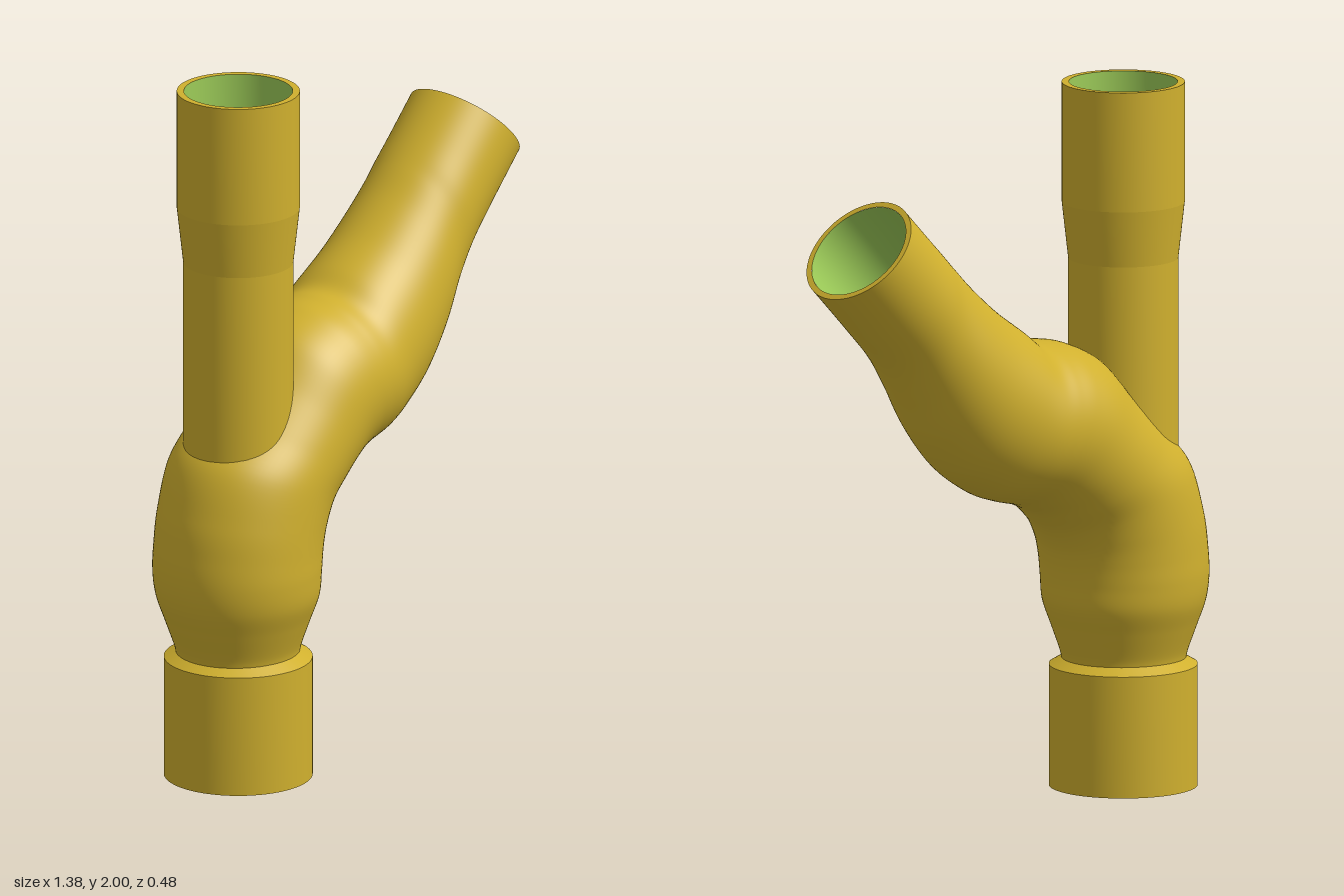
import * as THREE from 'three';
import { toCreasedNormals } from 'three/addons/utils/BufferGeometryUtils.js';

const AXIS = -0.45;   // x of the vertical pipe axis
const WALL = 0.017;
const CUT = 0.144;    // radius of the opening where the riser joins the branch

// Branch sections: upper x, upper y, lower x, lower y, half width in z
const SECTIONS = [
  [-0.627, 0.36, -0.277, 0.36, 0.172],
  [-0.635, 0.39, -0.270, 0.39, 0.179],
  [-0.660, 0.46, -0.246, 0.46, 0.204],
  [-0.683, 0.53, -0.223, 0.53, 0.229],
  [-0.692, 0.60, -0.218, 0.60, 0.237],
  [-0.688, 0.68, -0.210, 0.66, 0.237],
  [-0.670, 0.79, -0.195, 0.71, 0.237],
  [-0.615, 0.94, -0.165, 0.76, 0.237],
  [-0.500, 1.045, -0.125, 0.80, 0.237],
  [-0.400, 1.14, -0.095, 0.823, 0.237],
  [-0.300, 1.245, -0.060, 0.840, 0.237],
  [-0.200, 1.295, -0.030, 0.852, 0.237],
  [-0.120, 1.312, 0.000, 0.860, 0.236],
  [-0.060, 1.325, 0.050, 0.873, 0.232],
  [0.000, 1.37, 0.120, 0.900, 0.222],
  [0.100, 1.44, 0.220, 0.967, 0.209],
  [0.200, 1.525, 0.310, 1.070, 0.194],
  [0.270, 1.595, 0.385, 1.190, 0.178],
  [0.310, 1.635, 0.460, 1.300, 0.174],
  [0.360, 1.685, 0.560, 1.405, 0.171],
  [0.450, 1.775, 0.690, 1.535, 0.170],
];

// Loft of ellipses through the sections, opened where the riser passes
function branchSurface(inset, inward) {
  const rows = 160, sides = 96;
  const curve = (f) => new THREE.CatmullRomCurve3(SECTIONS.map(f), false, 'catmullrom', 0.5);
  const upper = curve((s) => new THREE.Vector3(s[0], s[1], 0));
  const lower = curve((s) => new THREE.Vector3(s[2], s[3], 0));
  const width = curve((s) => new THREE.Vector3(s[4], 0, 0));
  const pos = [], index = [];
  for (let i = 0; i <= rows; i++) {
    const t = i / rows;
    const u = upper.getPoint(t), l = lower.getPoint(t);
    const c = u.clone().add(l).multiplyScalar(0.5);
    const arm = u.sub(c);
    arm.setLength(arm.length() - inset);
    const w = width.getPoint(t).x - inset;
    for (let j = 0; j < sides; j++) {
      const a = (j / sides) * Math.PI * 2;
      pos.push(c.x + arm.x * Math.cos(a), c.y + arm.y * Math.cos(a), w * Math.sin(a));
    }
  }
  for (let i = 0; i < rows; i++) {
    for (let j = 0; j < sides; j++) {
      const k = (j + 1) % sides;
      const a = i * sides + j, b = i * sides + k, c = a + sides, d = b + sides;
      for (const [p, q, r] of [[a, b, c], [b, d, c]]) index.push(...(inward ? [p, r, q] : [p, q, r]));
    }
  }
  const geo = new THREE.BufferGeometry();
  geo.setAttribute('position', new THREE.Float32BufferAttribute(pos, 3));
  geo.setIndex(index);
  geo.computeVertexNormals();

  // Drop faces inside the riser bore and pull the edge onto its wall
  const p = geo.attributes.position;
  const inside = [];
  for (let i = 0; i < p.count; i++) {
    const dx = p.getX(i) - AXIS, z = p.getZ(i), r = Math.hypot(dx, z);
    inside[i] = p.getY(i) > 0.8 && r < CUT;
    if (inside[i] && r > 0) {
      p.setX(i, AXIS + (dx * CUT) / r);
      p.setZ(i, (z * CUT) / r);
    }
  }
  const kept = [];
  for (let i = 0; i < index.length; i += 3) {
    const tri = index.slice(i, i + 3);
    if (!tri.every((v) => inside[v])) kept.push(...tri);
  }
  geo.setIndex(kept);
  return geo;
}

// Turned surface on the vertical axis; profiles run upward for outer faces
function turned(profile, bend) {
  const geo = new THREE.LatheGeometry(profile.map(([r, y]) => new THREE.Vector2(r, y)), 96);
  const p = geo.attributes.position;
  if (bend) for (let i = 0; i < p.count; i++) p.setY(i, bend(p.getX(i), p.getY(i), p.getZ(i)));
  return toCreasedNormals(geo, 0.08).translate(AXIS, 0, 0);
}

export function createModel() {
  const gold = new THREE.MeshStandardMaterial({ color: 0xd0b02e });
  gold.name = 'gold outside';
  const green = new THREE.MeshStandardMaterial({ color: 0x9ccb58 });
  green.name = 'green inside';

  const model = new THREE.Group();
  model.name = 'pipeFitting';
  const add = (name, geo, mat) => {
    const mesh = new THREE.Mesh(geo, mat);
    mesh.name = name;
    model.add(mesh);
  };

  // Bottom socket with a chamfered shoulder and a narrow inner neck
  add('socket', turned([[0.178, 0], [0.208, 0], [0.208, 0.345], [0.172, 0.366]]), gold);
  add('socketBore', turned([[0.158, 0.37], [0.126, 0.365], [0.126, 0.32], [0.178, 0.3], [0.178, 0]]), green);

  // Curved branch, hollow, with its end rim
  add('branch', branchSurface(0, false), gold);
  add('branchBore', branchSurface(WALL, true), green);
  const rim = new THREE.RingGeometry(0.17 - WALL, 0.17, 96);
  rim.rotateY(Math.PI / 2).rotateZ(Math.PI / 4).translate(0.57, 1.655, 0);
  add('branchRim', rim, gold);

  // Riser, its lower end following the slope of the branch
  const slope = (x, y, z) => (y < 1 ? 1.05 + x - 0.09 * (z / 0.155) ** 2 : y);
  add('riser', turned([[0.154, 0.9], [0.154, 1.5], [0.172, 1.66], [0.172, 2], [0.152, 2]], slope), gold);
  add('riserBore', turned([[0.152, 2], [0.152, 1.66], [0.136, 1.5], [0.136, 0.9]], slope), green);

  return model;
}
